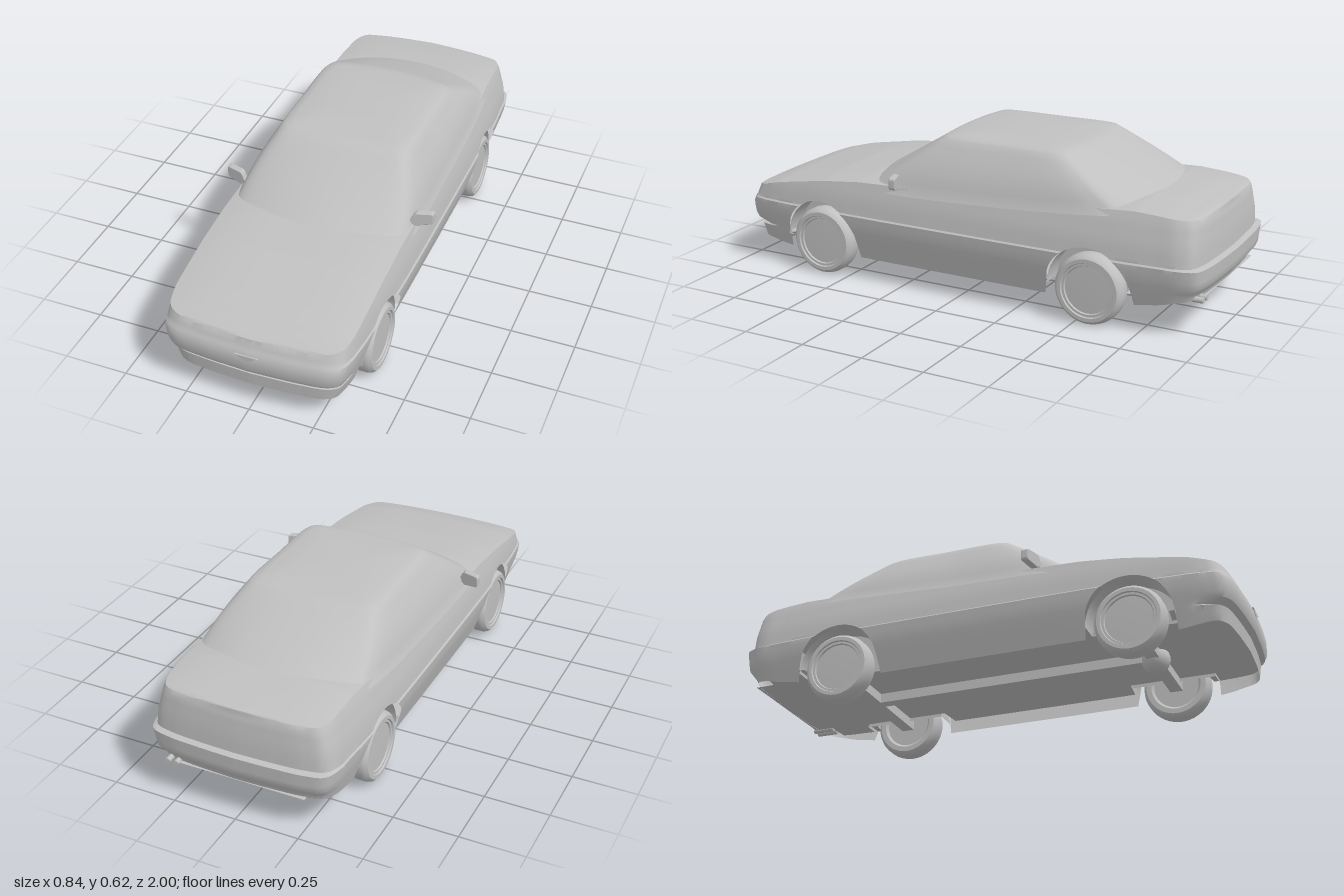
import * as THREE from 'three';
import { toCreasedNormals } from 'three/addons/utils/BufferGeometryUtils.js';

const paint = new THREE.MeshStandardMaterial({ color: 0xc0c0c0, side: THREE.DoubleSide });
paint.name = 'silver grey';

const WHEEL_Y = 0.137, WHEEL_R = 0.135, ARCH_R = 0.168;
const AXLES = [0.61, -0.555];

// Piecewise linear lookup in a list of [key, value] pairs with rising keys
function lookup(table, k) {
  if (k <= table[0][0]) return table[0][1];
  for (let i = 1; i < table.length; i++) {
    const [a, va] = table[i - 1], [b, vb] = table[i];
    if (k <= b) return va + (vb - va) * (k - a) / (b - a);
  }
  return table[table.length - 1][1];
}

// Skin a list of equally long rows of points
function skin(rows, crease = 0.6) {
  const n = rows[0].length, index = [];
  for (let i = 0; i + 1 < rows.length; i++) {
    for (let j = 0; j + 1 < n; j++) {
      const a = i * n + j, b = a + n;
      index.push(a, a + 1, b, a + 1, b + 1, b);
    }
  }
  const g = new THREE.BufferGeometry();
  g.setAttribute('position', new THREE.Float32BufferAttribute(rows.flat(2), 3));
  g.setIndex(index);
  return toCreasedNormals(g, crease);
}

function add(parent, name, geometry, x = 0, y = 0, z = 0) {
  const m = new THREE.Mesh(geometry, paint);
  m.name = name;
  m.position.set(x, y, z);
  parent.add(m);
  return m;
}

// Half plan outline from the tail to the nose, as [x, z]
const outline = new THREE.CatmullRomCurve3([
  [0, -1], [0.15, -0.995], [0.27, -0.985], [0.338, -0.965], [0.362, -0.92], [0.373, -0.8],
  [0.382, -0.6], [0.385, 0], [0.382, 0.5], [0.373, 0.7], [0.357, 0.9], [0.343, 0.95],
  [0.305, 0.975], [0.2, 0.99], [0, 1],
].map(([x, z]) => new THREE.Vector3(x, 0, z))).getSpacedPoints(260);

// Profiles: width by height, end positions by height, upper and lower edge by z
const WIDTH = [[0.08, 0.335], [0.16, 0.36], [0.22, 0.378], [0.27, 0.385], [0.276, 0.379], [0.34, 0.371], [0.42, 0.35], [0.46, 0.335]];
const NOSE = [[0.08, -0.045], [0.1, -0.03], [0.155, -0.025], [0.16, -0.055], [0.18, -0.008], [0.2, 0], [0.25, 0], [0.27, -0.01], [0.276, -0.014], [0.34, -0.04]];
const TAIL = [[0.1, -0.05], [0.16, -0.035], [0.2, -0.005], [0.27, 0], [0.276, -0.022], [0.34, -0.025], [0.42, -0.035], [0.46, -0.05]];
const TOP = [[-1, 0.437], [-0.95, 0.442], [-0.72, 0.455], [0, 0.42], [0.43, 0.405], [0.6, 0.387], [0.9, 0.337], [0.96, 0.325], [1, 0.31]];
const CROWN = [[-1, 0.008], [-0.9, 0.016], [-0.7, 0.02], [0.6, 0.02], [0.9, 0.017], [1, 0.004]];
const SKIRT = [[-1, 0.15], [-0.72, 0.105], [-0.56, 0.09], [0.6, 0.09], [0.775, 0.08], [0.95, 0.1]];
const LEVELS = [0.08, 0.1, 0.13, 0.155, 0.16, 0.18, 0.2, 0.225, 0.25, 0.27, 0.276, 0.29, 0.31, 0.34, 0.37, 0.4, 0.42, 0.44, 0.46];

function lowerEdge(z) {
  for (const c of AXLES) {
    const d = Math.abs(z - c);
    if (d < ARCH_R) return WHEEL_Y + Math.sqrt(ARCH_R * ARCH_R - d * d);
  }
  return lookup(SKIRT, z);
}

function makeBody() {
  const rows = outline.map(({ x, z }) => {
    const low = lowerEdge(z), high = lookup(TOP, z), crown = lookup(CROWN, z);
    const ends = THREE.MathUtils.smoothstep(Math.abs(z), 0.8, 0.95);
    const side = LEVELS.map((level) => {
      const y = Math.min(Math.max(level, low), high);
      const dz = lookup(z > 0 ? NOSE : TAIL, y) * ends * Math.sign(z);
      return [x * lookup(WIDTH, y) / 0.385, y, z + dz];
    });
    const edge = side[side.length - 1], deck = [];
    for (let k = 1; k < 24; k++) {
      const u = 1 - k / 12;
      deck.push([edge[0] * u, high + crown * (1 - Math.abs(u) ** 3.5), edge[2]]);
    }
    return [...side, ...deck, ...side.map(([a, b, c]) => [-a, b, c]).reverse()];
  });
  return skin(rows);
}

// Floor pan, narrowed between the wheel wells
function makeFloor() {
  const rows = outline.map(({ x, z }) => {
    const w = lowerEdge(z) > WHEEL_Y ? 0.26 : x * 0.925;
    return [[w, 0.15, z * 0.965], [-w, 0.15, z * 0.965]];
  });
  return skin(rows);
}

// Cabin: rings blended from the belt line to the roof edge, then closed over the roof
function makeCabin() {
  const ring = (half) => {
    const mirrored = half.slice(1, -1).reverse().map(([x, y, z]) => [-x, y, z]);
    const curve = new THREE.CatmullRomCurve3([...half, ...mirrored].map((p) => new THREE.Vector3(...p)), true);
    return curve.getPoints(16 * (half.length + mirrored.length));
  };
  const base = ring([[0, 0.425, 0.435], [0.18, 0.42, 0.415], [0.31, 0.41, 0.37], [0.34, 0.405, 0.33], [0.352, 0.415, -0.1],
    [0.338, 0.445, -0.58], [0.315, 0.453, -0.65], [0.18, 0.47, -0.71], [0, 0.475, -0.73]]);
  const roof = ring([[0, 0.61, 0.125], [0.14, 0.608, 0.122], [0.235, 0.603, 0.112], [0.256, 0.6, 0.09], [0.264, 0.6, -0.15],
    [0.26, 0.6, -0.38], [0.24, 0.6, -0.41], [0.14, 0.606, -0.425], [0, 0.608, -0.43]]);
  const rows = [];
  for (let k = -1; k <= 8; k++) {
    const t = k / 8, bulge = 1 + 0.035 * Math.sin(Math.PI * Math.max(t, 0));
    rows.push(base.map((p, i) => {
      const q = p.clone().lerp(roof[i], t);
      return [q.x * bulge, q.y, q.z];
    }));
  }
  for (const [s, y, mix] of [[0.96, 0.613, 0.6], [0.85, 0.616, 0.9], [0.5, 0.62, 1], [0, 0.621, 1]]) {
    rows.push(roof.map((p) => [p.x * s, p.y + (y - p.y) * mix, -0.15 + (p.z + 0.15) * s]));
  }
  return skin(rows, 0.5);
}

// Wheel turned around its axle, outer face towards +y before turning
function makeWheelGeometry() {
  const profile = [[0, -0.03], [0.09, -0.03], [0.1, -0.04], [0.12, -0.04], [0.131, -0.03], [WHEEL_R, -0.015], [WHEEL_R, 0.015],
    [0.131, 0.03], [0.12, 0.04], [0.106, 0.04], [0.103, 0.034], [0.094, 0.034], [0.091, 0.028], [0, 0.03]];
  const g = new THREE.LatheGeometry(profile.map(([r, y]) => new THREE.Vector2(r, y)), 48);
  return toCreasedNormals(g.rotateZ(-Math.PI / 2), 0.6);
}

function makeMirrorGeometry() {
  const s = new THREE.Shape();
  s.moveTo(0.333, 0.425);
  s.lineTo(0.36, 0.411);
  s.lineTo(0.41, 0.419);
  s.quadraticCurveTo(0.418, 0.42, 0.418, 0.43);
  s.lineTo(0.418, 0.452);
  s.quadraticCurveTo(0.418, 0.461, 0.41, 0.461);
  s.lineTo(0.36, 0.461);
  s.quadraticCurveTo(0.35, 0.458, 0.345, 0.44);
  const g = new THREE.ExtrudeGeometry(s, { depth: 0.02, bevelSize: 0.003, bevelThickness: 0.004, bevelSegments: 2 });
  // sweep the outer end backwards
  const p = g.attributes.position;
  for (let i = 0; i < p.count; i++) p.setZ(i, p.getZ(i) + 0.25 - (p.getX(i) - 0.34) * 0.3);
  g.computeVertexNormals();
  return g;
}

export function createModel() {
  const car = new THREE.Group();
  car.name = 'sedan';
  add(car, 'body', makeBody());
  add(car, 'floorPan', makeFloor());
  add(car, 'cabin', makeCabin());

  // Wheels, wells and axles
  const wheel = makeWheelGeometry(), mirror = makeMirrorGeometry();
  for (const z of AXLES) {
    const end = z > 0 ? 'front' : 'rear';
    for (const side of [1, -1]) {
      const label = end + (side > 0 ? 'Left' : 'Right');
      add(car, label + 'Wheel', wheel, side * 0.326, WHEEL_Y, z).rotation.y = side > 0 ? 0 : Math.PI;
      const liner = new THREE.CylinderGeometry(ARCH_R, ARCH_R, 0.09, 32, 1, true, 0, Math.PI).rotateZ(Math.PI / 2);
      add(car, label + 'WheelWell', liner, side * 0.303, WHEEL_Y, z);
      const wall = new THREE.CircleGeometry(ARCH_R, 32, 0, Math.PI).rotateY(Math.PI / 2);
      add(car, label + 'WellWall', wall, side * 0.259, WHEEL_Y, z);
    }
    add(car, end + 'Axle', new THREE.BoxGeometry(0.6, 0.04, 0.05), 0, 0.132, z);
  }

  // Drive shaft and sump
  add(car, 'driveShaft', new THREE.BoxGeometry(0.045, 0.04, 1.16), 0, 0.132, 0.03);
  add(car, 'sump', new THREE.SphereGeometry(0.055, 24, 16), 0, 0.125, 0.61);

  // Door mirrors
  add(car, 'leftMirror', mirror);
  const flipped = mirror.clone().scale(-1, 1, 1);
  const q = flipped.attributes.position, nrm = flipped.attributes.normal;
  for (let i = 0; i < q.count; i += 3) {
    for (const a of [q, nrm]) {
      const b = [a.getX(i), a.getY(i), a.getZ(i)];
      a.setXYZ(i, a.getX(i + 1), a.getY(i + 1), a.getZ(i + 1));
      a.setXYZ(i + 1, ...b);
    }
  }
  add(car, 'rightMirror', flipped);

  // Twin exhaust tips under the tail
  for (const x of [0.25, 0.285]) {
    add(car, 'exhaustTip', new THREE.CylinderGeometry(0.011, 0.011, 0.09, 16).rotateX(Math.PI / 2), x, 0.15, -0.93);
  }

  // Dipped lip at the middle of the nose
  const dip = new THREE.Shape();
  dip.moveTo(-0.045, 0.257);
  dip.bezierCurveTo(-0.025, 0.255, -0.025, 0.236, 0, 0.236);
  dip.bezierCurveTo(0.025, 0.236, 0.025, 0.255, 0.045, 0.257);
  add(car, 'noseLip', new THREE.ExtrudeGeometry(dip, { depth: 0.006, bevelEnabled: false }), 0, 0, 0.995);
  return car;
}
